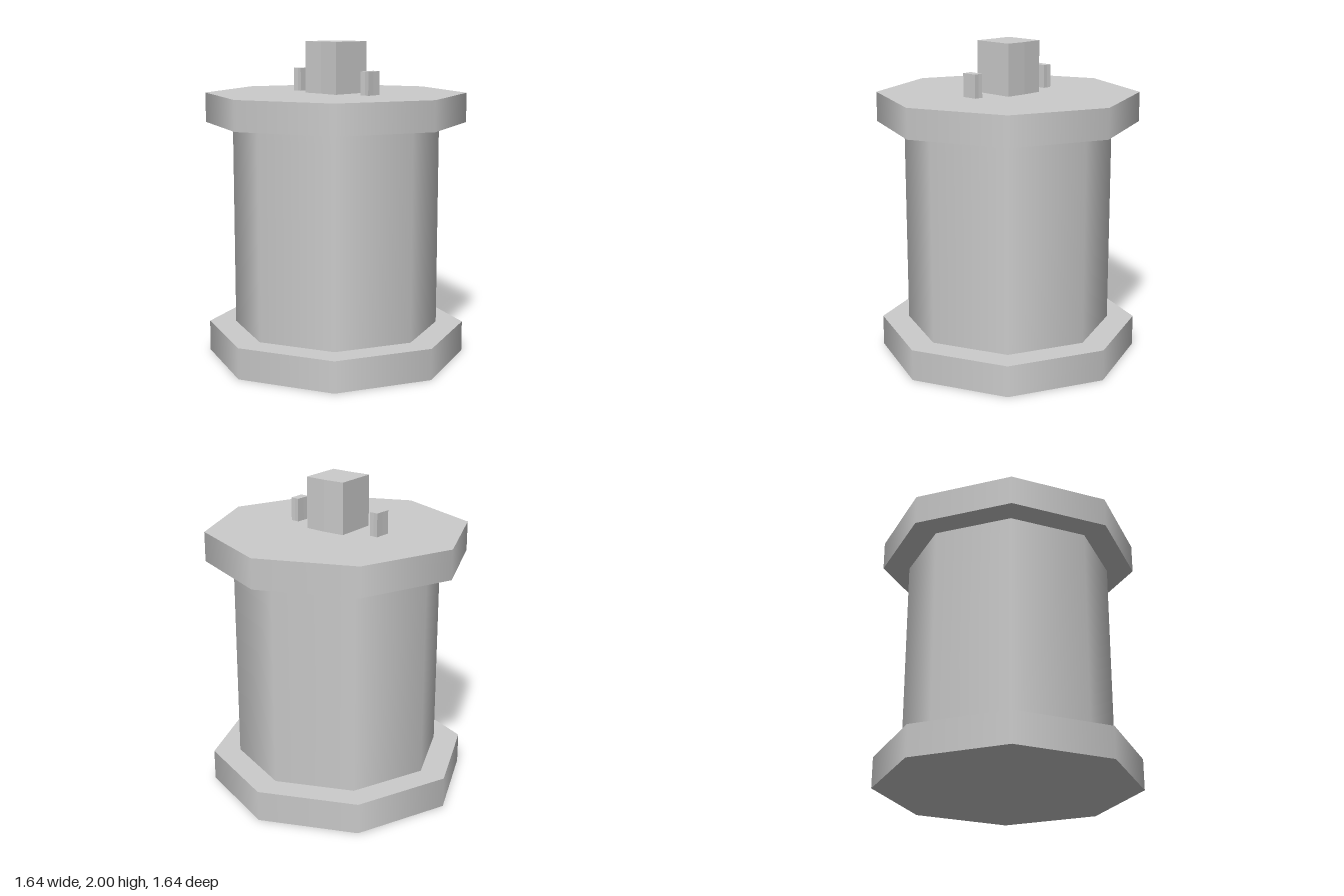
import * as THREE from 'three';

const material = new THREE.MeshStandardMaterial({ color: 0xcccccc });

// Eight-sided drum with smooth sides, standing from y0 to y1
function drum(name, radius, y0, y1) {
  const mesh = new THREE.Mesh(new THREE.CylinderGeometry(radius, radius, y1 - y0, 8), material);
  mesh.name = name;
  mesh.position.y = (y0 + y1) / 2;
  return mesh;
}

// Upright prism from an [x, z] outline, standing from y0 to y1
function prism(name, outline, x, y0, y1) {
  const shape = new THREE.Shape(outline.map(([px, pz]) => new THREE.Vector2(px, -pz)));
  const geometry = new THREE.ExtrudeGeometry(shape, { depth: y1 - y0, bevelEnabled: false });
  geometry.rotateX(-Math.PI / 2);
  const mesh = new THREE.Mesh(geometry, material);
  mesh.name = name;
  mesh.position.set(x, y0, 0);
  return mesh;
}

export function createModel() {
  const group = new THREE.Group();
  group.name = 'spool';

  // Spool body: two flanges and the core between them
  group.add(drum('bottomFlange', 0.82, 0, 0.195));
  group.add(drum('core', 0.65, 0.195, 1.495));
  group.add(drum('topFlange', 0.82, 1.495, 1.68));

  // Central block, its front and back slightly bent
  const block = [[-0.136, 0.132], [0, 0.127], [0.134, 0.132], [0.134, -0.137], [0, -0.143], [-0.136, -0.137]];
  group.add(prism('centreBlock', block, 0, 1.68, 2));

  // Small slightly uneven pins either side of the block
  const pin = [[-0.034, 0.052], [0, 0.047], [0.03, 0.05], [0.027, 0], [0.027, -0.05], [0, -0.05], [-0.028, -0.054], [-0.03, 0]];
  group.add(prism('leftPin', pin, 0.3, 1.68, 1.825));
  group.add(prism('rightPin', pin, -0.3, 1.68, 1.825));

  return group;
}
